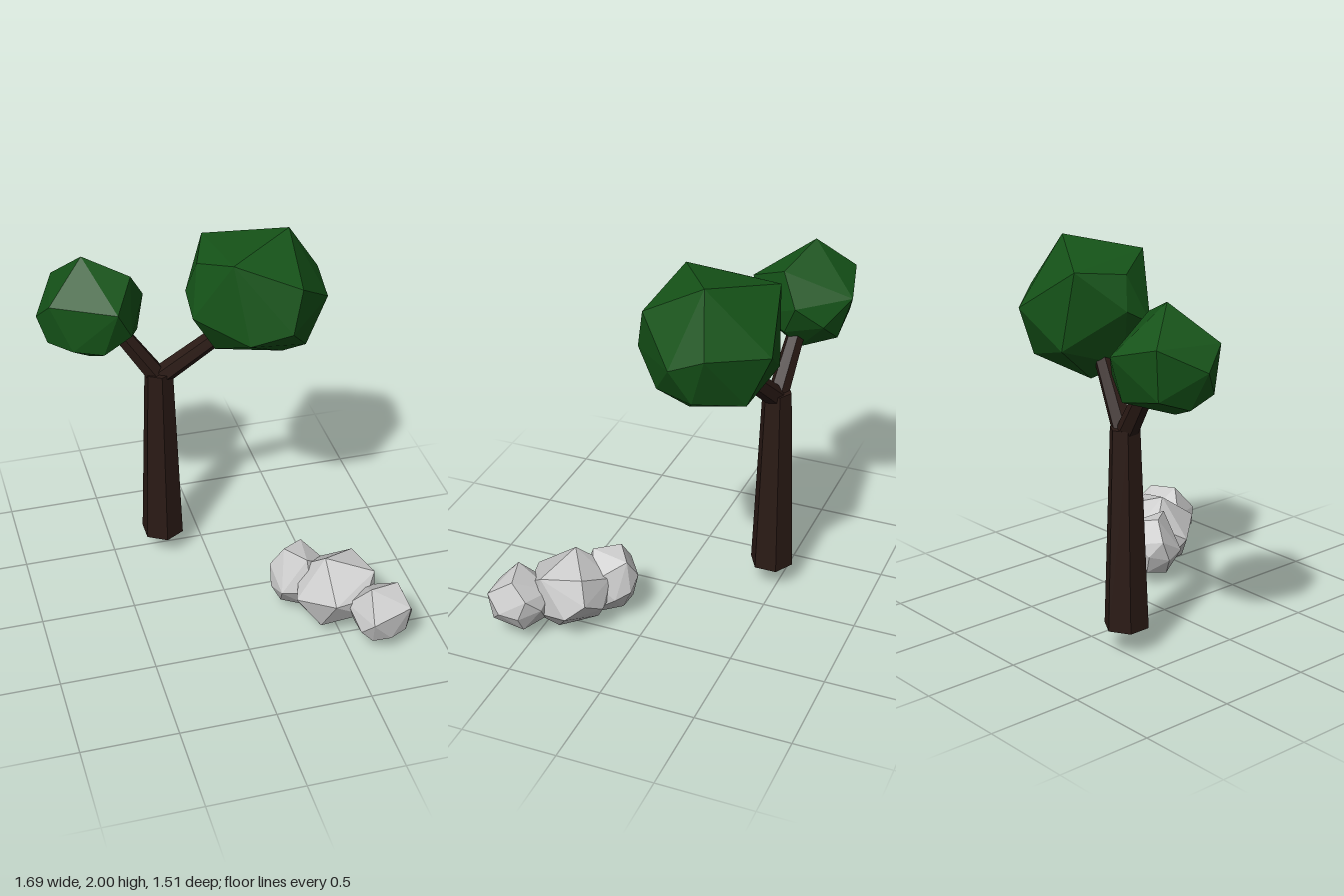
import * as THREE from 'three';
import { ConvexGeometry } from 'three/addons/geometries/ConvexGeometry.js';

const V = (p) => new THREE.Vector3(...p);
const flat = (color) => new THREE.MeshStandardMaterial({ color, flatShading: true });

// Corner points of the two faceted crowns
const BIG_CROWN = [
  [0.42, 2.0, -0.31], [0.07, 1.95, -0.08], [0.03, 1.9, -0.55], [-0.06, 1.87, -0.3],
  [0.4, 1.82, 0.01], [0.37, 1.68, -0.63], [0.6, 1.72, -0.38], [0.6, 1.64, -0.2],
  [-0.11, 1.7, -0.34], [-0.11, 1.62, -0.19], [0.34, 1.6, 0.06], [0.13, 1.54, 0.02],
  [0.55, 1.46, -0.3], [0.45, 1.45, -0.08], [0.1, 1.5, -0.58], [0.4, 1.42, -0.52],
  [0.02, 1.39, -0.25], [0.16, 1.31, -0.35], [0.37, 1.34, -0.22],
];
const SMALL_CROWN = [
  [-0.6, 1.87, -0.52], [-0.37, 1.77, -0.43], [-0.29, 1.61, -0.52], [-0.48, 1.63, -0.76],
  [-0.73, 1.7, -0.7], [-0.85, 1.58, -0.49], [-0.8, 1.69, -0.37], [-0.48, 1.67, -0.23],
  [-0.81, 1.46, -0.42], [-0.76, 1.39, -0.52], [-0.59, 1.32, -0.46], [-0.44, 1.33, -0.5],
  [-0.34, 1.45, -0.45], [-0.55, 1.43, -0.27], [-0.7, 1.45, -0.31], [-0.4, 1.5, -0.3],
  [-0.48, 1.4, -0.69], [-0.72, 1.45, -0.68], [-0.36, 1.5, -0.65],
];

export function createModel() {
  const model = new THREE.Group();
  const bark = flat(0x2a1a15), leaf = flat(0x155318), stone = flat(0xcccccc);

  const add = (parent, name, geometry, material) => {
    const mesh = new THREE.Mesh(geometry, material);
    mesh.name = name;
    parent.add(mesh);
    return mesh;
  };

  // Tapered six-sided limb between two points
  const limb = (parent, name, from, to, r0, r1) => {
    const a = V(from), b = V(to), dir = b.clone().sub(a);
    const mesh = add(parent, name, new THREE.CylinderGeometry(r1, r0, dir.length(), 6), bark);
    mesh.position.copy(a).add(b).multiplyScalar(0.5);
    mesh.quaternion.setFromUnitVectors(new THREE.Vector3(0, 1, 0), dir.normalize());
  };

  // Tree: trunk, forked branches and crowns
  const tree = new THREE.Group();
  tree.name = 'tree';
  limb(tree, 'trunk', [-0.23, 0.13, -0.46], [-0.23, 1.17, -0.46], 0.117, 0.078);
  limb(tree, 'leftBranch', [-0.22, 1.14, -0.46], [0.12, 1.47, -0.32], 0.056, 0.046);
  limb(tree, 'rightBranch', [-0.23, 1.13, -0.46], [-0.43, 1.43, -0.49], 0.056, 0.046);
  add(tree, 'largeCrown', new ConvexGeometry(BIG_CROWN.map(V)), leaf);
  add(tree, 'smallCrown', new ConvexGeometry(SMALL_CROWN.map(V)), leaf);
  model.add(tree);

  // Faceted boulder turned and then fitted to the box from min to max
  const boulder = (parent, name, points, turn, min, max) => {
    const box = new THREE.Box3(V(min), V(max));
    const rotated = points.map((p) => V(p).applyEuler(new THREE.Euler(...turn)));
    const own = new THREE.Box3().setFromPoints(rotated);
    const scale = box.getSize(new THREE.Vector3()).divide(own.getSize(new THREE.Vector3()));
    const fitted = rotated.map((p) => p.sub(own.min).multiply(scale).add(box.min));
    add(parent, name, new ConvexGeometry(fitted), stone);
  };

  // Row of three overlapping boulders
  const rocks = new THREE.Group();
  rocks.name = 'rocks';
  boulder(rocks, 'middleRock', BIG_CROWN, [0.4, 2.1, 0], [0.28, 0, 0.18], [0.72, 0.42, 0.6]);
  boulder(rocks, 'frontRock', SMALL_CROWN, [0, 0.6, 0.3], [0.51, 0.05, 0.44], [0.84, 0.37, 0.75]);
  boulder(rocks, 'backRock', SMALL_CROWN, [0.5, 2.6, 0], [0.2, 0.06, 0.08], [0.51, 0.38, 0.38]);
  model.add(rocks);

  return model;
}
